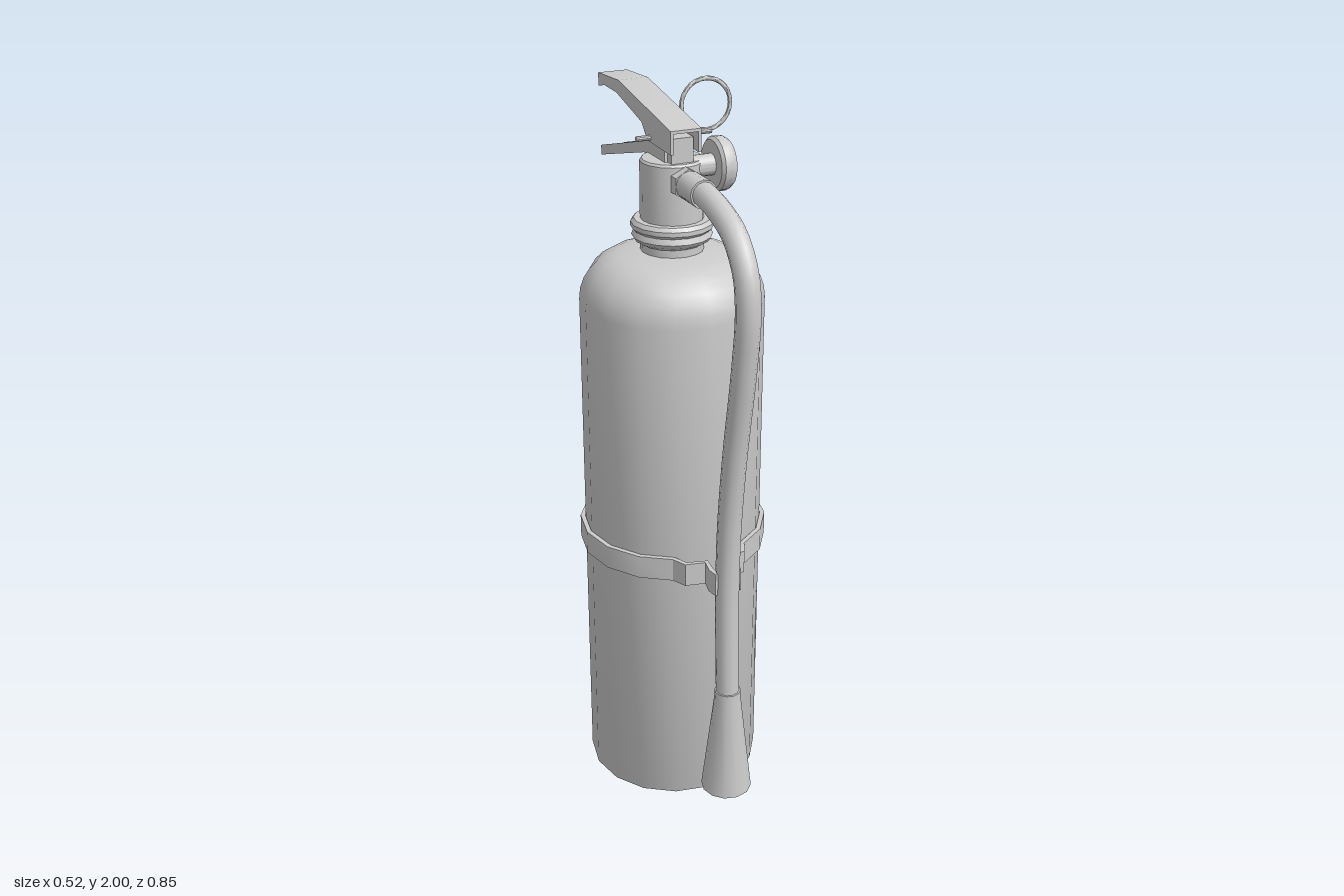
import * as THREE from 'three';
import { toCreasedNormals } from 'three/addons/utils/BufferGeometryUtils.js';

const AXIS_Z = -0.04; // tank axis
const material = new THREE.MeshStandardMaterial({ color: 0xcccccc });

export function createModel() {
  const model = new THREE.Group();

  const add = (name, geometry, x = 0, y = 0, z = 0, crease = 0.6) => {
    const mesh = new THREE.Mesh(toCreasedNormals(geometry, crease), material);
    mesh.name = name;
    mesh.position.set(x, y, z);
    model.add(mesh);
    return mesh;
  };
  const lathe = (points, sides = 16) =>
    new THREE.LatheGeometry(points.map(p => new THREE.Vector2(...p)), sides);
  const shapeOf = points => new THREE.Shape(points.map(p => new THREE.Vector2(...p)));

  // Side profile given as [z, y], extruded along x and centred on cx
  const sidePlate = (name, points, width, cx = 0) => {
    const g = new THREE.ExtrudeGeometry(shapeOf(points), { depth: width, bevelEnabled: false });
    g.translate(0, 0, -width / 2);
    g.rotateY(-Math.PI / 2);
    add(name, g, cx, 0, 0, 0.3);
  };

  // Folded sheet lever: a web plate and two side walls
  const lever = (name, web, wall, width) => {
    const t = 0.008;
    sidePlate(name + 'Web', web, width);
    for (const s of [-1, 1]) sidePlate(name + 'Wall', wall, t, s * (width - t) / 2);
  };

  // Tank with rounded shoulder
  const tank = [[0, 0], [0.243, 0], [0.245, 0.006]];
  for (let i = 0; i <= 7; i++) {
    const a = (i / 7) * Math.PI / 2;
    tank.push([0.115 + 0.13 * Math.cos(a), 1.44 + 0.13 * Math.sin(a)]);
  }
  tank.push([0.085, 1.575], [0, 1.575]);
  add('tank', lathe(tank), 0, 0, AXIS_Z);

  // Neck, collar and valve body
  add('neckCollar', lathe([
    [0, 1.56], [0.083, 1.56], [0.083, 1.595], [0.1, 1.605], [0.106, 1.615], [0.1, 1.63],
    [0.108, 1.638], [0.108, 1.65], [0.1, 1.66], [0, 1.66],
  ]), 0, 0, AXIS_Z);
  add('valveBody', lathe([[0, 1.65], [0.083, 1.65], [0.083, 1.81], [0.078, 1.816], [0, 1.816]]), 0, 0, AXIS_Z);
  add('valveBlock', new THREE.BoxGeometry(0.06, 0.08, 0.13), 0, 1.84, AXIS_Z);

  // Carrying handle below, open upwards
  lever('carryHandle',
    [[0.0, 1.812], [-0.13, 1.81], [-0.37, 1.745], [-0.425, 1.73], [-0.425, 1.738], [-0.37, 1.753], [-0.13, 1.82], [0.0, 1.82]],
    [[0.0, 1.812], [-0.13, 1.81], [-0.37, 1.745], [-0.425, 1.73], [-0.425, 1.757], [-0.165, 1.83], [-0.1, 1.86], [0.0, 1.86]],
    0.076);

  // Squeeze lever above, open downwards
  lever('squeezeLever',
    [[0.045, 1.897], [-0.285, 1.955], [-0.425, 1.947], [-0.425, 1.955], [-0.285, 1.963], [0.045, 1.905]],
    [[0.045, 1.845], [-0.1, 1.85], [-0.135, 1.888], [-0.3, 1.928], [-0.38, 1.93], [-0.425, 1.92],
      [-0.425, 1.955], [-0.285, 1.963], [0.045, 1.905]],
    0.084);

  // Safety pin and pull ring
  add('safetyPin', new THREE.CylinderGeometry(0.007, 0.007, 0.21, 10).rotateZ(Math.PI / 2), 0.025, 1.86, -0.082);
  add('pullRing', new THREE.TorusGeometry(0.066, 0.006, 8, 28), 0.117, 1.928, -0.088, 1).rotation.y = -0.1;

  // Pressure gauge on the left
  const gauge = lathe([
    [0, 0], [0.028, 0], [0.028, 0.092], [0.062, 0.092], [0.07, 0.1],
    [0.07, 0.122], [0.062, 0.135], [0.055, 0.135], [0.053, 0.13], [0, 0.13],
  ], 20).rotateZ(-Math.PI / 2);
  add('pressureGauge', gauge, 0, 1.797, 0);

  // Hose fitting: hex nut and ferrule
  add('hoseNut', new THREE.CylinderGeometry(0.042, 0.042, 0.05, 6).rotateX(Math.PI / 2), 0, 1.77, 0.04, 0.3);
  add('hoseFerrule', new THREE.CylinderGeometry(0.037, 0.037, 0.1, 12).rotateX(Math.PI / 2), 0, 1.77, 0.1);

  // Hose path as [y, z]
  const hosePath = new THREE.CatmullRomCurve3([
    [1.77, 0.08], [1.77, 0.15], [1.755, 0.23], [1.715, 0.32], [1.64, 0.38], [1.55, 0.397], [1.4, 0.383],
    [1.15, 0.342], [0.95, 0.318], [0.78, 0.31], [0.6, 0.313], [0.4, 0.322],
  ].map(([y, z]) => new THREE.Vector3(0, y, z)));
  add('hose', new THREE.TubeGeometry(hosePath, 48, 0.032, 12), 0, 0, 0, 1);

  // Discharge horn
  add('horn', lathe([
    [0, 0.1], [0.07, 0.1], [0.036, 0.4], [0.036, 0.42], [0, 0.42],
  ], 12), 0, 0, 0.322);

  // Strap around the tank, with front prongs that grip the hose
  const half = [[0.031, 0.315], [0.036, 0.285], [0.029, 0.243], [0.084, 0.23], [0.102, 0.192]];
  for (let i = 6; i >= -8; i--) {
    if (i > 5) continue;
    const a = (i / 16) * Math.PI * 2;
    if (i >= -4) half.push([0.253 * Math.cos(a), AXIS_Z + 0.253 * Math.sin(a)]);
  }
  const half2 = half.filter(([x, z], i) => i < 5 || x > 0.12 || z < 0);
  const line = [...half2, ...half2.slice(0, -1).reverse().map(([x, z]) => [-x, z])]
    .map(p => new THREE.Vector2(...p));
  const offset = d => line.map((p, i) => {
    const before = p.clone().sub(line[Math.max(i - 1, 0)]).normalize();
    const after = line[Math.min(i + 1, line.length - 1)].clone().sub(p).normalize();
    const dir = before.add(after).normalize();
    return [p.x - dir.y * d, p.y + dir.x * d];
  });
  const strap = new THREE.ExtrudeGeometry(
    shapeOf([...offset(0.0065), ...offset(-0.0065).reverse()]), { depth: 0.065, bevelEnabled: false });
  strap.rotateX(Math.PI / 2);
  add('hoseStrap', strap, 0, 0.79, 0, 0.5);

  return model;
}
